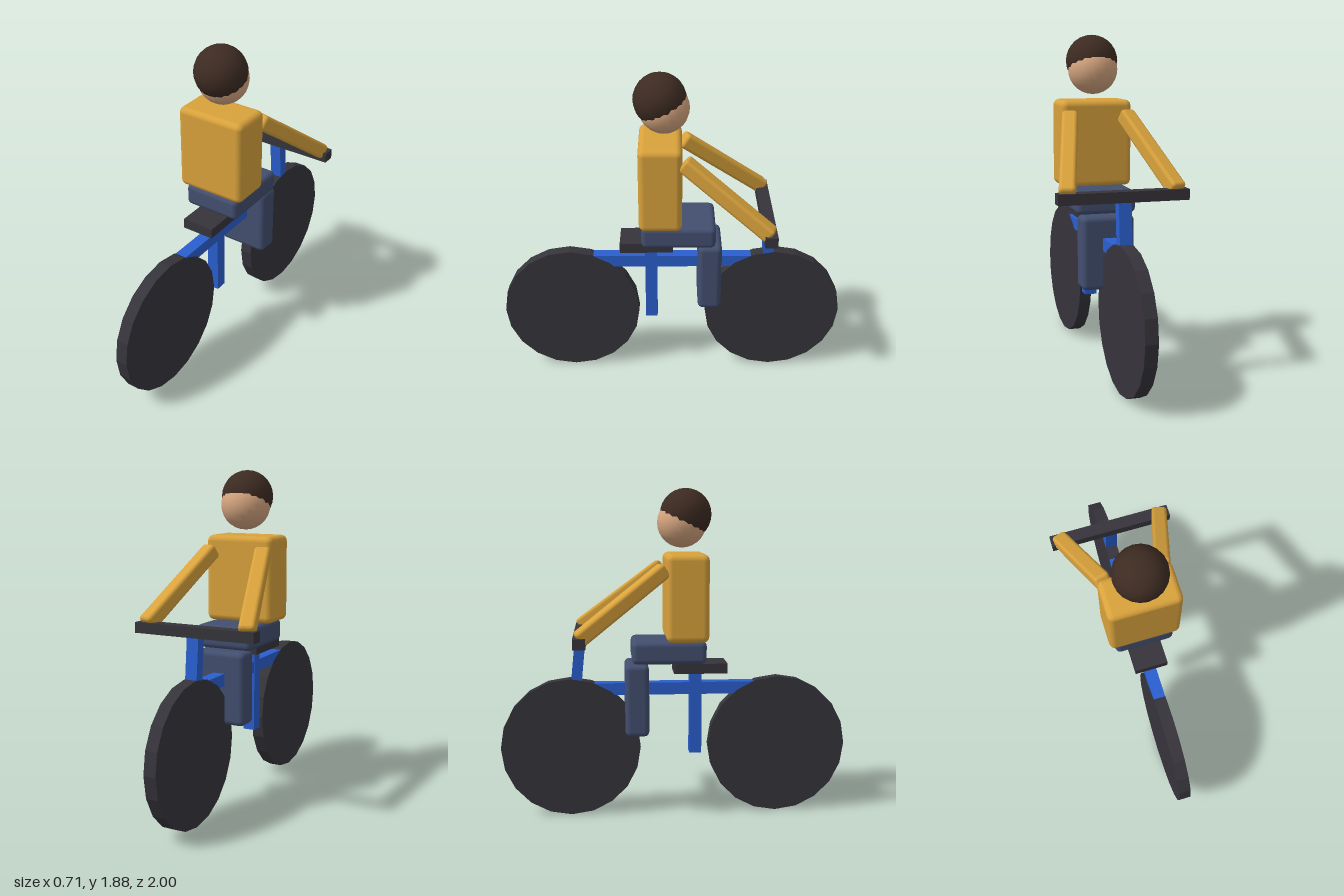
import * as THREE from 'three';
import { RoundedBoxGeometry } from 'three/addons/geometries/RoundedBoxGeometry.js';

const material = (name, color) => {
  const m = new THREE.MeshStandardMaterial({ color });
  m.name = name;
  return m;
};

export function createModel() {
  const black = material('charcoal', 0x36343b);
  const blue = material('frame blue', 0x2a5fd0);
  const yellow = material('shirt yellow', 0xd9a23c);
  const denim = material('denim', 0x434f70);
  const skin = material('skin', 0xd6a680);
  const hair = material('hair brown', 0x3d2b22);

  const model = new THREE.Group();
  model.name = 'cyclist';

  const add = (name, geometry, mat, x, y, z) => {
    const mesh = new THREE.Mesh(geometry, mat);
    mesh.name = name;
    mesh.position.set(x, y, z);
    model.add(mesh);
    return mesh;
  };
  const box = (w, h, d) => new THREE.BoxGeometry(w, h, d);
  const soft = (w, h, d, r) => new RoundedBoxGeometry(w, h, d, 2, r);

  // Solid disc wheels; the rider faces -z
  const wheelGeometry = new THREE.CylinderGeometry(0.402, 0.402, 0.07, 20).rotateZ(Math.PI / 2);
  for (const [name, z] of [['frontWheel', -0.598], ['rearWheel', 0.598]]) {
    add(name, wheelGeometry, black, 0, 0.405, z).material.flatShading = true;
  }

  // Frame
  add('topTube', box(0.069, 0.07, 1.18), blue, 0, 0.745, 0);
  add('seatPost', box(0.07, 0.49, 0.07), blue, 0, 0.605, 0.122);
  const fork = add('forkStem', box(0.069, 0.34, 0.06), blue, 0, 0.885, -0.552);
  fork.rotation.x = 0.1;
  add('handlebar', box(0.71, 0.058, 0.07), black, 0, 1.053, -0.535);
  add('seat', box(0.19, 0.057, 0.305), black, 0, 0.868, 0.147);

  // Rider's body
  add('thighs', soft(0.34, 0.13, 0.42, 0.03), denim, 0, 0.97, -0.036);
  add('shins', soft(0.3, 0.415, 0.135, 0.03), denim, 0, 0.693, -0.217);
  add('torso', soft(0.41, 0.49, 0.24, 0.035), yellow, 0, 1.275, 0.065);

  // Arms reach from the shoulders to the handlebar
  for (const side of [-1, 1]) {
    const shoulder = new THREE.Vector3(side * 0.16, 1.44, -0.06);
    const hand = new THREE.Vector3(side * 0.3, 1.07, -0.54);
    const length = shoulder.distanceTo(hand);
    const arm = add(side > 0 ? 'armA' : 'armB', soft(0.088, 0.088, length, 0.02), yellow, 0, 0, 0);
    arm.position.copy(shoulder).lerp(hand, 0.5);
    arm.lookAt(hand);
  }

  // Head with a hair cap set up and back
  add('head', new THREE.SphereGeometry(0.14, 20, 14), skin, 0, 1.69, 0.044);
  add('hair', new THREE.SphereGeometry(0.146, 20, 14), hair, 0, 1.736, 0.066);

  return model;
}
